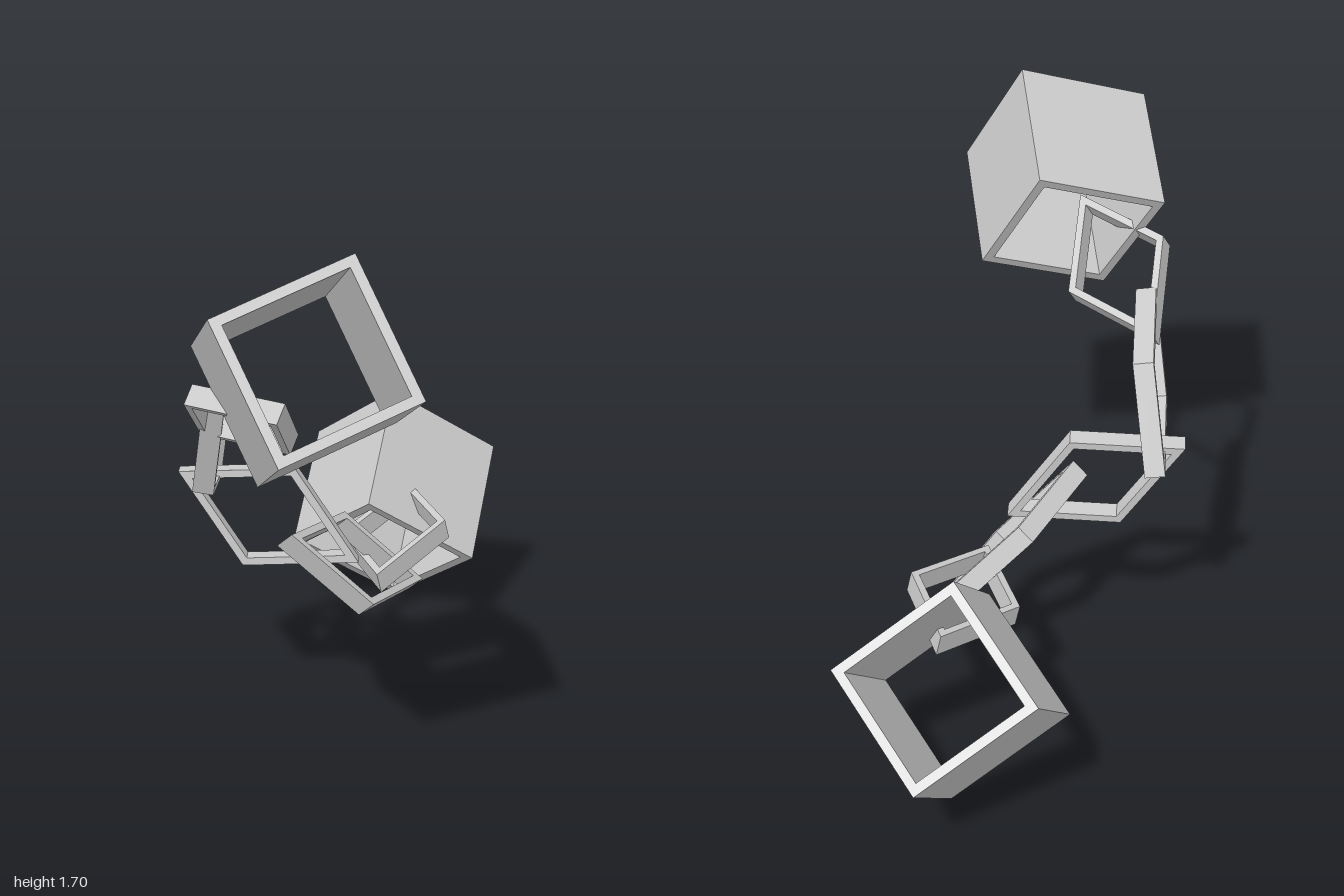
import * as THREE from 'three';

const material = new THREE.MeshStandardMaterial({ color: 0xcccccc, flatShading: true });

// Four-sided band: a rhombus outline with half diagonals a and b, a wall and a depth.
function bandGeometry(a, b, wall, depth) {
  const outline = (Path, k) => {
    const p = new Path();
    p.moveTo(a * k, 0);
    p.lineTo(0, b * k);
    p.lineTo(-a * k, 0);
    p.lineTo(0, -b * k);
    p.closePath();
    return p;
  };
  const inradius = (a * b) / Math.hypot(a, b);
  const shape = outline(THREE.Shape, 1);
  shape.holes.push(outline(THREE.Path, 1 - wall / inradius));
  const geometry = new THREE.ExtrudeGeometry(shape, { depth, bevelEnabled: false });
  geometry.translate(0, 0, -depth / 2);
  return geometry;
}

// Place a band so that its tip and two neighbouring corners follow the given points.
function placeBand(name, geometry, tip, sideA, sideB) {
  const [t, p, q] = [tip, sideA, sideB].map((v) => new THREE.Vector3(...v));
  const center = p.clone().add(q).multiplyScalar(0.5);
  const x = t.sub(center).normalize();
  const z = new THREE.Vector3().crossVectors(x, p.sub(center)).normalize();
  const y = new THREE.Vector3().crossVectors(z, x);
  const mesh = new THREE.Mesh(geometry, material);
  mesh.name = name;
  mesh.quaternion.setFromRotationMatrix(new THREE.Matrix4().makeBasis(x, y, z));
  mesh.position.copy(center);
  return mesh;
}

export function createModel() {
  const model = new THREE.Group();
  model.name = 'shackles';

  // Square open cuffs at both ends
  const cuff = bandGeometry(0.319, 0.319, 0.03, 0.452);
  model.add(placeBand('lowerCuff', cuff, [-0.33, 0.645, -0.485], [-0.71, 0.395, -0.52], [-0.144, 0.398, -0.813]));
  model.add(placeBand('upperCuff', cuff, [0.381, 1.605, 0.497], [0.627, 1.232, 0.479], [0.18, 1.462, 0.872]));

  // Chain of rhombic links, from the upper cuff down to the lower one
  const link = bandGeometry(0.32, 0.18, 0.024, 0.066);
  const chain = new THREE.Group();
  chain.name = 'chain';
  [
    [[-0.15, 1.025, 0.52], [0.02, 1.215, 0.755], [0.2, 1.045, 0.515]],
    [[-0.39, 0.748, 0.267], [-0.293, 1.053, 0.31], [-0.163, 0.813, 0.53]],
    [[-0.39, 0.78, 0.39], [-0.12, 0.775, 0.155], [-0.24, 0.505, 0.29]],
    [[0, 0.295, -0.28], [-0.155, 0.545, -0.08], [0.09, 0.345, 0.07]],
    [[0.03, 0.375, -0.07], [0.012, 0.455, -0.425], [-0.275, 0.385, -0.235]],
  ].forEach((corners, i) => chain.add(placeBand(`chainLink${i + 1}`, link, ...corners)));
  model.add(chain);

  return model;
}
